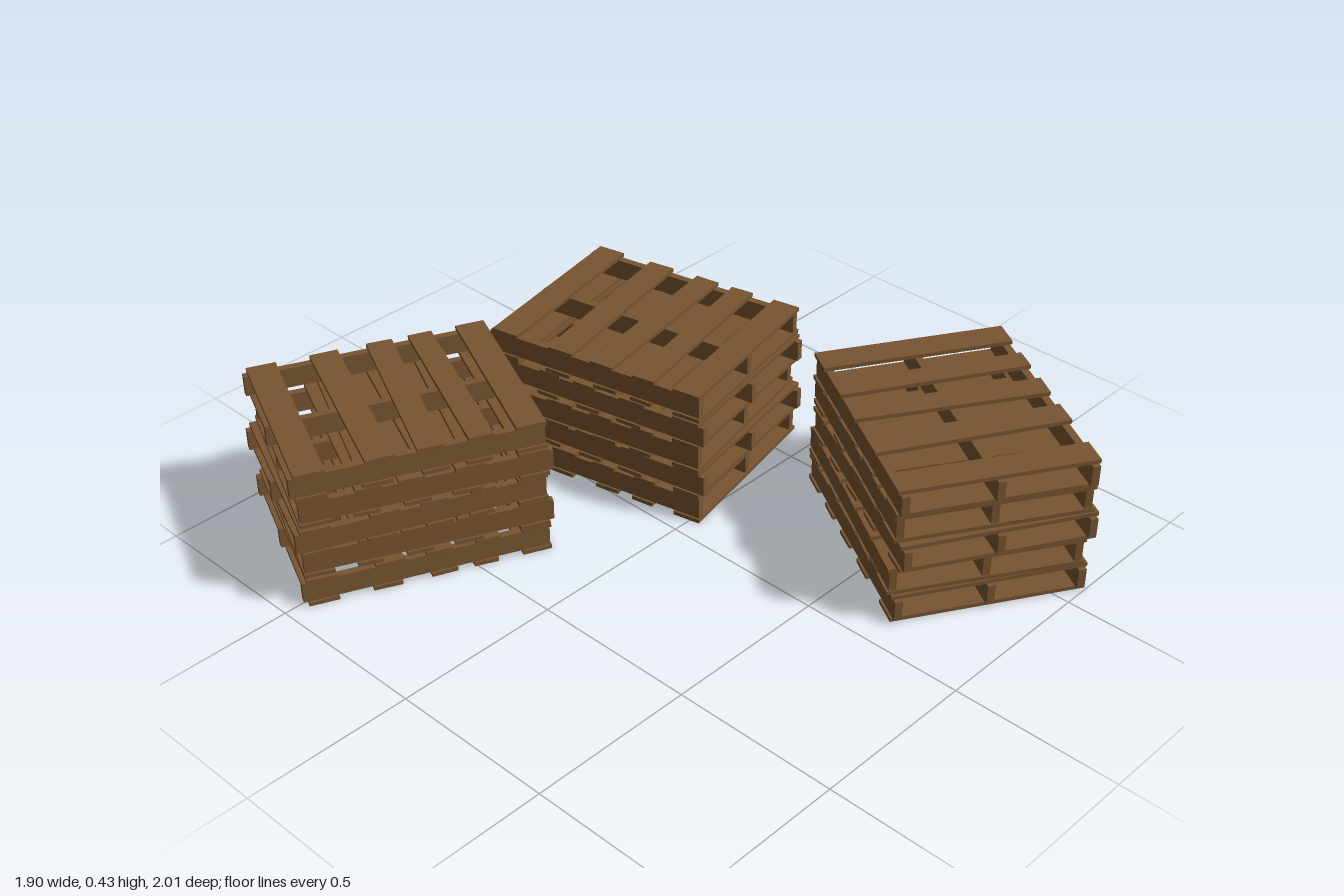
import * as THREE from 'three';

const wood = new THREE.MeshStandardMaterial({ color: 0x775430, flatShading: true });

const SLAT_T = 0.012, STRINGER_H = 0.062, PITCH = 2 * SLAT_T + STRINGER_H;
const SLAT_L = 0.565;

// Slats along the pallet: [position, width, slight skew in radians]
const slats = [
  [-0.305, 0.085, 0],
  [-0.12, 0.082, 0.02],
  [0.03, 0.075, -0.02],
  [0.16, 0.07, 0.015],
  [0.305, 0.085, 0],
];

function board(name, w, h, d, x, y, z, turn = 0) {
  const mesh = new THREE.Mesh(new THREE.BoxGeometry(w, h, d), wood);
  mesh.name = name;
  mesh.position.set(x, y, z);
  mesh.rotation.y = turn;
  return mesh;
}

// One pallet: three stringers between a top and a bottom deck
function makePallet() {
  const pallet = new THREE.Group();
  pallet.name = 'pallet';
  for (const z of [-0.265, 0, 0.265]) {
    pallet.add(board('stringer', 0.705, STRINGER_H, 0.022, -0.008, PITCH / 2, z));
  }
  for (const [x, w, skew] of slats) {
    pallet.add(board('topSlat', w, SLAT_T, SLAT_L, x, PITCH - SLAT_T / 2, 0, skew));
    pallet.add(board('bottomSlat', w, SLAT_T, SLAT_L, x, SLAT_T / 2, 0, -skew));
  }
  return pallet;
}

// Small misalignments of each layer: [x, z, turn]
const layers = [
  [0, 0, 0.005],
  [0.004, -0.005, -0.015],
  [-0.008, 0.006, 0.02],
  [0.005, 0.003, -0.01],
  [0, 0, 0],
];

// Five pallets, every other one turned end for end
function makeStack(name, x, z, degrees) {
  const stack = new THREE.Group();
  stack.name = name;
  layers.forEach(([dx, dz, turn], i) => {
    const pallet = makePallet();
    pallet.position.set(dx, i * PITCH, dz);
    pallet.rotation.y = turn + (i % 2 ? Math.PI : 0);
    stack.add(pallet);
  });
  stack.position.set(x, 0, z);
  stack.rotation.y = THREE.MathUtils.degToRad(degrees);
  return stack;
}

export function createModel() {
  const model = new THREE.Group();
  model.name = 'palletStacks';
  model.add(
    makeStack('backRightStack', -0.503, -0.59, -24.5),
    makeStack('middleStack', 0.268, -0.37, -78),
    makeStack('frontLeftStack', 0.52, 0.55, 58.7),
  );
  return model;
}
